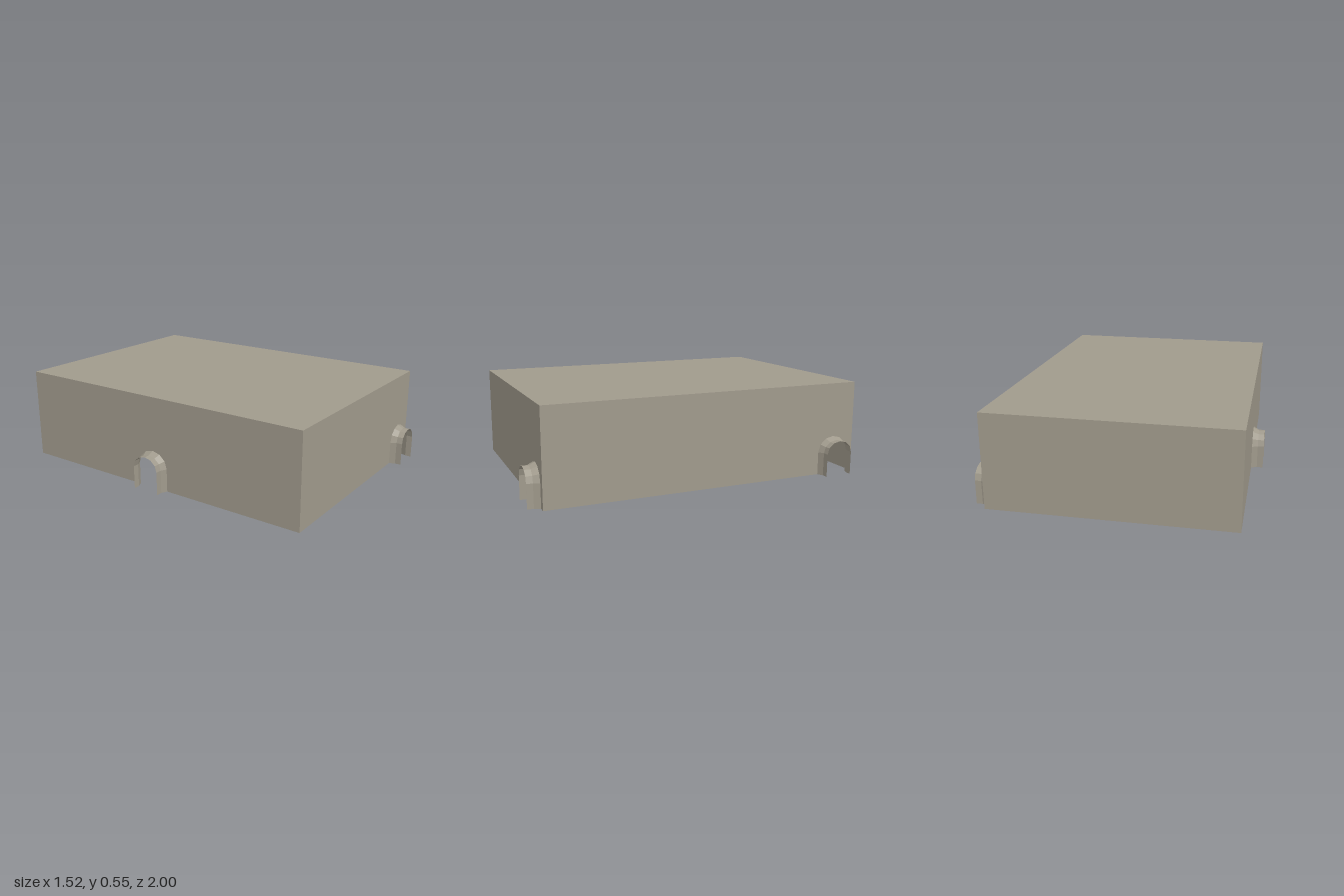
import * as THREE from 'three';

const W = 1.38, H = 0.55, L = 1.93, ZC = -0.035;

const stone = new THREE.MeshStandardMaterial({ color: 0xa09a8c, side: THREE.DoubleSide, flatShading: true });
stone.name = 'warm grey stone';

// Arch outline from left foot over the crown to right foot
function archPoints(cx, rx, ry, spring = 0.137, segs = 6) {
  const pts = [[cx - rx, 0]];
  for (let i = 0; i <= segs; i++) {
    const a = Math.PI * (1 - i / segs);
    pts.push([cx + rx * Math.cos(a), spring + ry * Math.sin(a)]);
  }
  pts.push([cx + rx, 0]);
  return pts;
}

// Thin sleeve lofted outward from the wall: a flared collar, then a straight lip
function sleeveGeometry(cx) {
  const rows = [[0, 0.101, 0.091], [0.034, 0.085, 0.074], [0.07, 0.085, 0.074]]
    .map(([z, rx, ry]) => archPoints(cx, rx, ry).map(([x, y]) => [x, y, z]));
  const n = rows[0].length;
  const index = [];
  for (let j = 0; j < rows.length - 1; j++) {
    for (let i = 0; i < n - 1; i++) {
      const a = j * n + i, b = a + 1, d = a + n, c = d + 1;
      index.push(a, d, c, a, c, b);
    }
  }
  const geo = new THREE.BufferGeometry();
  geo.setAttribute('position', new THREE.Float32BufferAttribute(rows.flat(2), 3));
  geo.setIndex(index);
  const flat = geo.toNonIndexed();
  flat.computeVertexNormals();
  return flat;
}

// Wall sheet facing local +z, optionally notched by an arched doorway
function makeWall(name, width, doorX) {
  const group = new THREE.Group();
  group.name = name;
  const h = width / 2;
  const outline = [[-h, 0]];
  if (doorX !== undefined) outline.push(...archPoints(doorX, 0.101, 0.091));
  outline.push([h, 0], [h, H], [-h, H]);
  const shape = new THREE.Shape(outline.map(([x, y]) => new THREE.Vector2(x, y)));
  const sheet = new THREE.Mesh(new THREE.ShapeGeometry(shape), stone);
  sheet.name = name + 'Sheet';
  group.add(sheet);
  if (doorX !== undefined) {
    const sleeve = new THREE.Mesh(sleeveGeometry(doorX), stone);
    sleeve.name = name + 'DoorSleeve';
    group.add(sleeve);
  }
  return group;
}

export function createModel() {
  const model = new THREE.Group();
  model.name = 'room';

  // name, width, doorway offset, x, z, turn
  const walls = [
    ['frontWall', W, 0.55, 0, ZC + L / 2, 0],
    ['leftWall', L, 0.825, W / 2, ZC, Math.PI / 2],
    ['rightWall', L, -0.005, -W / 2, ZC, -Math.PI / 2],
    ['backWall', W, undefined, 0, ZC - L / 2, Math.PI],
  ];
  for (const [name, width, door, x, z, turn] of walls) {
    const wall = makeWall(name, width, door);
    wall.position.set(x, 0, z);
    wall.rotation.y = turn;
    model.add(wall);
  }

  // Flat ceiling; the underside stays open
  const ceiling = new THREE.Mesh(new THREE.PlaneGeometry(W, L).rotateX(-Math.PI / 2), stone);
  ceiling.name = 'ceiling';
  ceiling.position.set(0, H, ZC);
  model.add(ceiling);

  return model;
}
